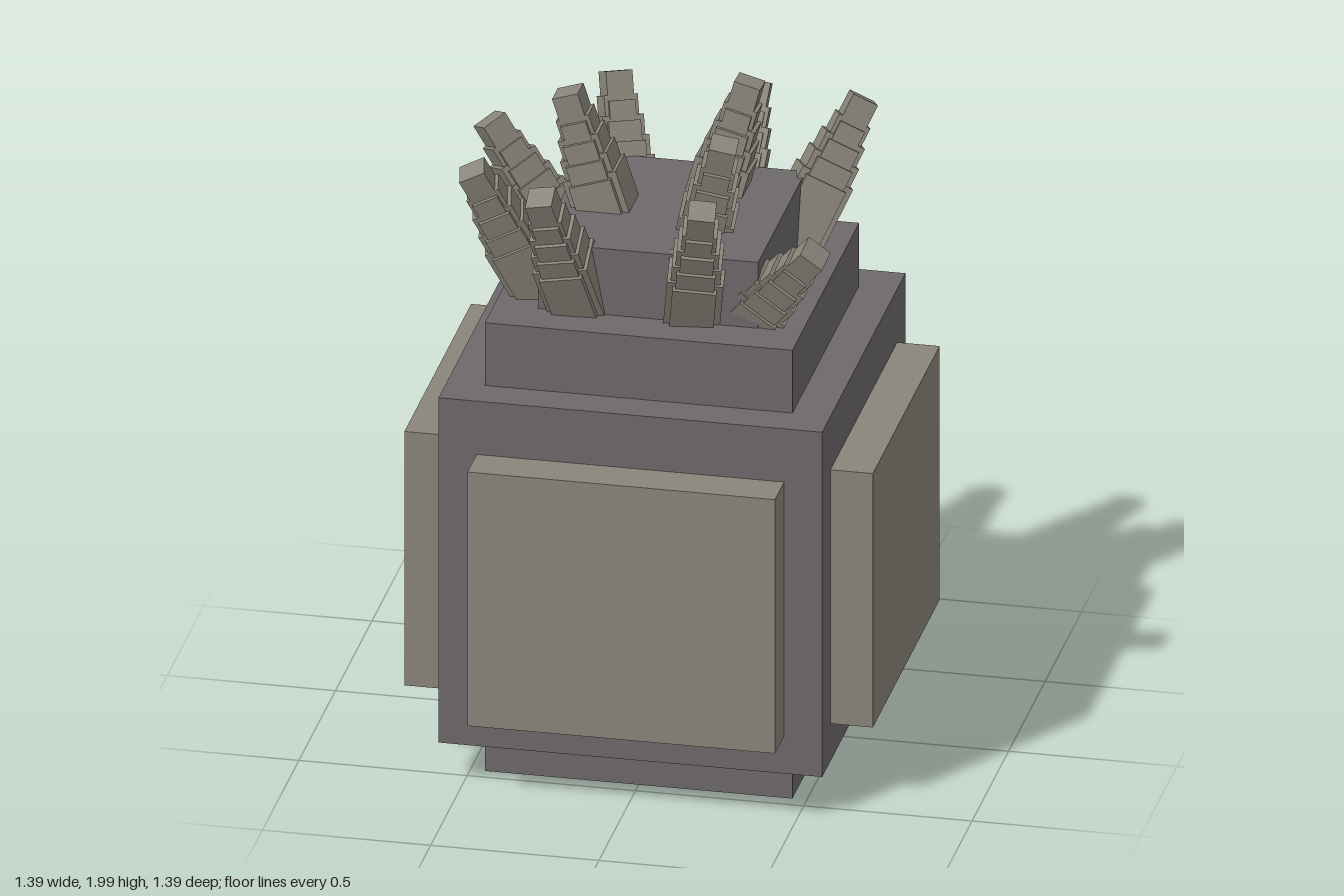
import * as THREE from 'three';

const stone = new THREE.MeshStandardMaterial({ color: 0x6e696c });
stone.name = 'purple grey stone';
const taupe = new THREE.MeshStandardMaterial({ color: 0x8a857a });
taupe.name = 'taupe';

function box(name, material, w, h, d, x, y, z) {
  const mesh = new THREE.Mesh(new THREE.BoxGeometry(w, h, d), material);
  mesh.name = name;
  mesh.position.set(x, y, z);
  return mesh;
}

// Stepped shard: [distance from tip to step top, distance to step bottom, width]
const STEPS = [[0, 0.085, 0.08], [0.07, 0.15, 0.102], [0.13, 0.21, 0.125], [0.19, 0.27, 0.145]];

function shard(base, tip, twist) {
  const group = new THREE.Group();
  group.name = 'shard';
  const from = new THREE.Vector3(...base);
  const to = new THREE.Vector3(...tip);
  const axis = to.clone().sub(from);
  const length = axis.length() + 0.06;
  axis.normalize();
  const levels = [...STEPS, [0.25, length, 0.165]];
  levels.forEach(([top, bottom, w], i) => {
    const h = bottom - top, y = -(top + bottom) / 2;
    if (i === 0) {
      group.add(box('shardTip', taupe, w, h, w, 0, y, 0));
    } else {
      // two crossed blocks give the notched corners
      group.add(box('shardStep', taupe, w, h, w * 0.78, 0, y, 0));
      group.add(box('shardStepCross', taupe, w * 0.78, h - 0.016, w, 0, y - 0.008, 0));
    }
  });
  group.position.copy(to);
  group.quaternion.setFromUnitVectors(new THREE.Vector3(0, 1, 0), axis);
  group.rotateY(twist);
  return group;
}

export function createModel() {
  const model = new THREE.Group();
  model.name = 'crystalBlock';

  // Stacked body
  model.add(box('core', stone, 0.914, 1.43, 0.914, 0, 0.715, 0));
  model.add(box('body', stone, 1.14, 1.1, 1.14, 0, 1.23 - 0.55, 0));
  model.add(box('topBlock', stone, 0.654, 0.23, 0.654, 0, 1.525, 0));

  // Raised panel on each side
  for (let i = 0; i < 4; i++) {
    const side = new THREE.Group();
    side.name = 'sidePanel';
    side.add(box('panel', taupe, 0.914, 0.81, 0.145, 0, 0.655, 0.6235));
    side.rotation.y = i * Math.PI / 2;
    model.add(side);
  }

  // Shards: base, tip, twist
  const shards = [
    [[-0.20, 1.43, -0.30], [-0.27, 1.84, -0.47], 0.5],
    [[0.10, 1.43, -0.29], [0.15, 1.84, -0.49], 0.1],
    [[0.29, 1.43, -0.28], [0.47, 1.83, -0.46], 0.3],
    [[-0.32, 1.43, -0.085], [-0.56, 1.83, -0.08], 0.7],
    [[0.10, 1.64, -0.165], [0.19, 1.975, -0.19], 0],
    [[-0.20, 1.64, 0], [-0.31, 1.98, 0], 0],
    [[0.12, 1.64, 0.08], [0.185, 1.92, 0.14], 0.1],
    [[-0.34, 1.43, 0.18], [-0.53, 1.84, 0.30], 0.15],
    [[-0.21, 1.43, 0.27], [-0.295, 1.84, 0.445], 0],
    [[0.12, 1.43, 0.27], [0.185, 1.84, 0.44], 0.15],
    [[0.28, 1.43, 0.23], [0.50, 1.69, 0.34], 0],
  ];
  for (const [base, tip, twist] of shards) model.add(shard(base, tip, twist));

  return model;
}
